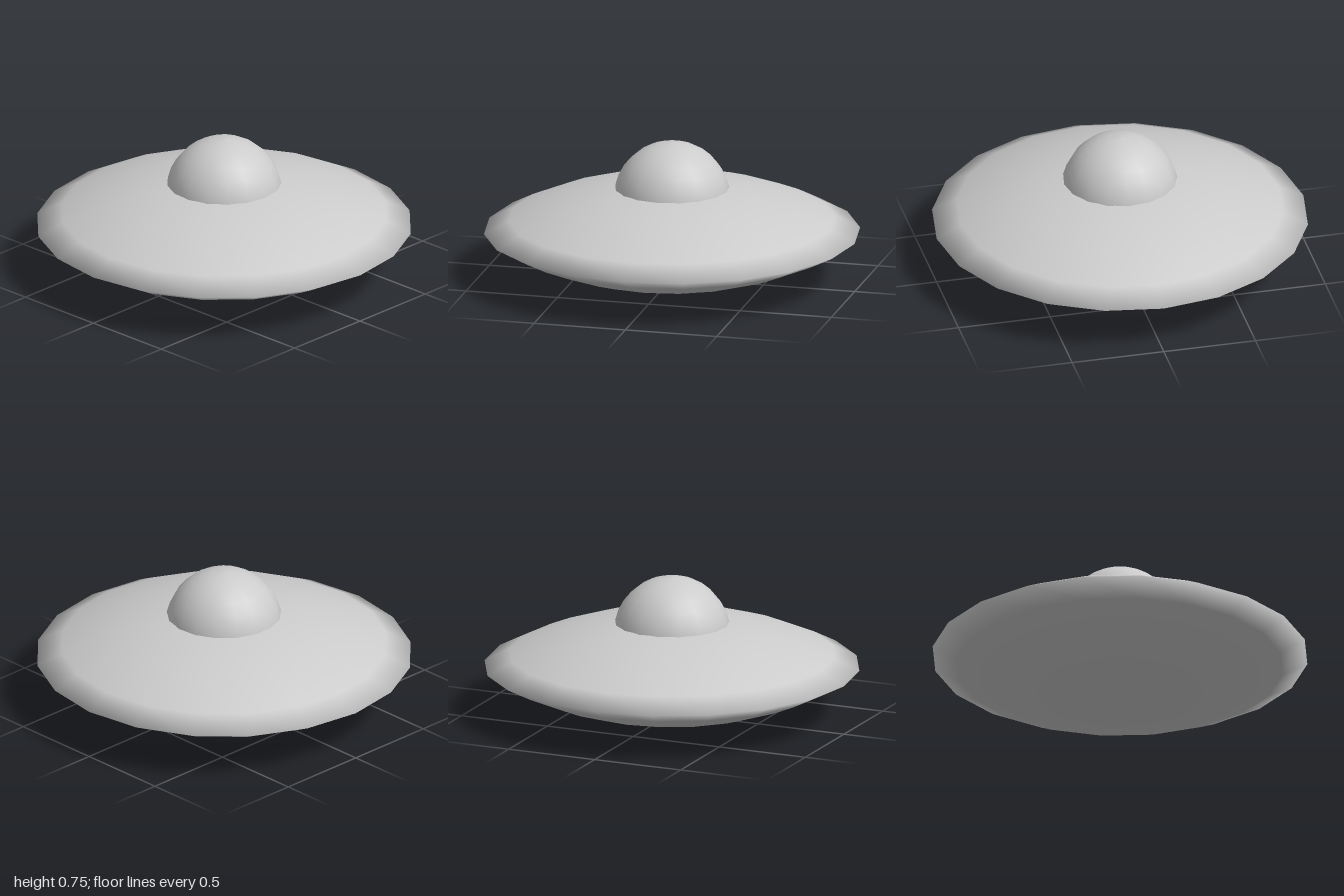
import * as THREE from 'three';

const SPHERE_R = 2.03;      // radius of the spheres whose caps form the lens-shaped hull
const RIM_Y = 0.264;        // height of the sharp rim
const DOME_R = 0.311, DOME_Y = 0.442;

export function createModel() {
  const group = new THREE.Group();
  const material = new THREE.MeshStandardMaterial({ color: 0xcccccc });

  const add = (name, geometry) => {
    const mesh = new THREE.Mesh(geometry, material);
    mesh.name = name;
    group.add(mesh);
  };

  // Saucer hull: two mirrored spherical caps meeting at the rim, 20 sides
  const rings = 7;
  const rimAngle = Math.asin(1 / SPHERE_R);
  const hull = [];
  for (let i = -rings; i <= rings; i++) {
    const a = rimAngle * (1 - Math.abs(i) / rings);
    const bulge = SPHERE_R * (Math.cos(a) - Math.cos(rimAngle));
    const height = i === 0 ? 0 : bulge * Math.sign(i);
    hull.push(new THREE.Vector2(SPHERE_R * Math.sin(a), RIM_Y + height));
  }
  add('saucerHull', new THREE.LatheGeometry(hull, 20));

  // Cockpit dome: upper half of a sphere sunk into the hull, 17 sides
  const dome = [];
  for (let i = 0; i <= 8; i++) {
    const a = (i / 8) * Math.PI / 2;
    dome.push(new THREE.Vector2(DOME_R * Math.cos(a), DOME_Y + DOME_R * Math.sin(a)));
  }
  add('cockpitDome', new THREE.LatheGeometry(dome, 17, Math.PI / 2));

  return group;
}
